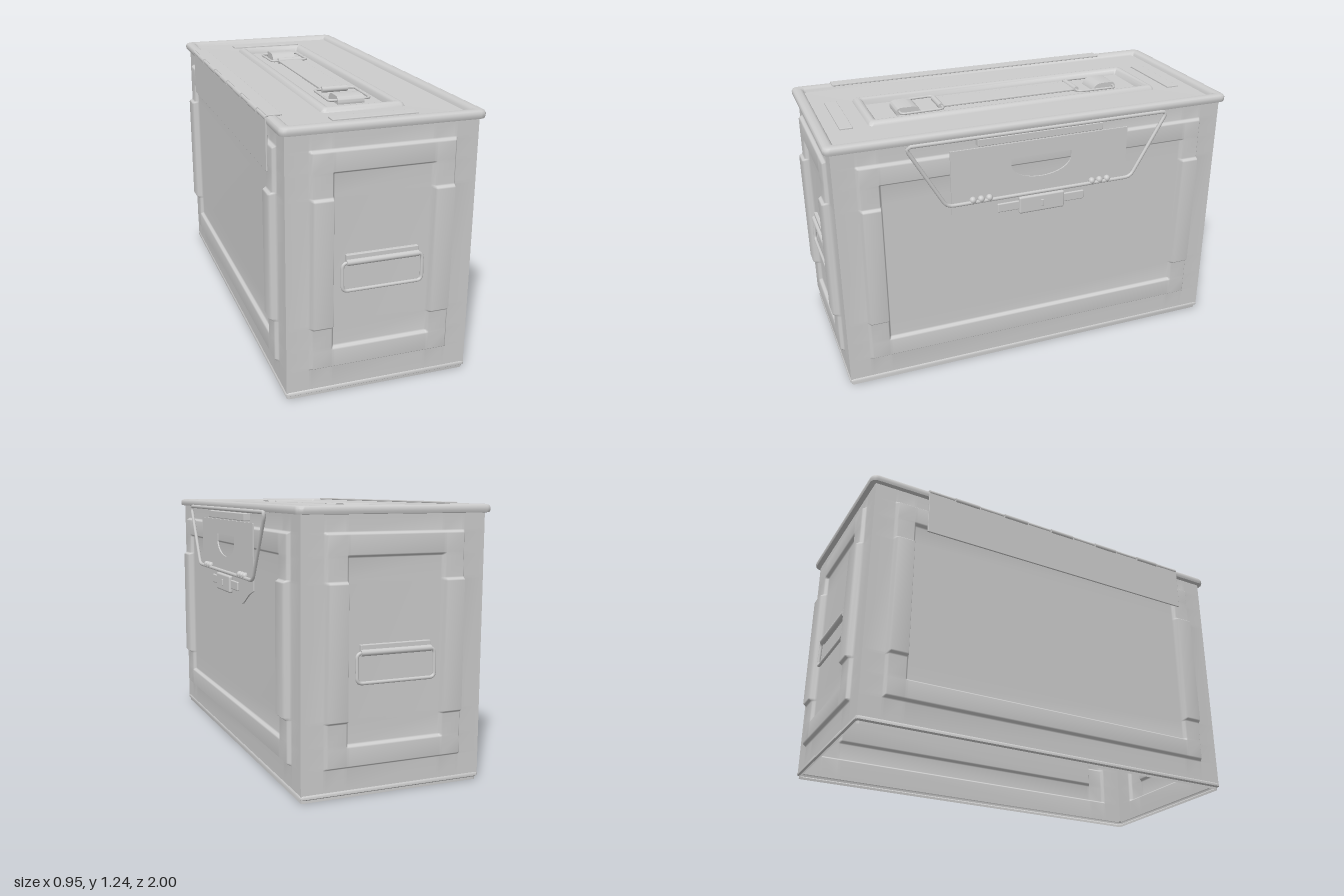
import * as THREE from 'three';
import { toCreasedNormals } from 'three/addons/utils/BufferGeometryUtils.js';
import { RoundedBoxGeometry } from 'three/addons/geometries/RoundedBoxGeometry.js';

const CX = -0.007, HX = 0.427, HZ = 0.96; // body centre and half sizes
const metal = new THREE.MeshStandardMaterial({ color: 0xcccccc });
const sheet = new THREE.MeshStandardMaterial({ color: 0xcccccc, side: THREE.DoubleSide });

function add(parent, name, geometry, material = metal) {
  const mesh = new THREE.Mesh(geometry, material);
  mesh.name = name;
  parent.add(mesh);
  return mesh;
}

// box given by its limits on each axis
function box(parent, name, [x0, x1], [y0, y1], [z0, z1], r = 0.003) {
  const m = add(parent, name, new RoundedBoxGeometry(x1 - x0, y1 - y0, z1 - z0, 2, r));
  m.position.set((x0 + x1) / 2, (y0 + y1) / 2, (z0 + z1) / 2);
  return m;
}

// closed wire through corner points, each corner rounded
function wire(parent, name, corners, bend, radius) {
  const pts = corners.map(p => new THREE.Vector3(...p));
  const path = new THREE.CurvePath();
  const n = pts.length;
  const toward = (a, b) => a.clone().add(b.clone().sub(a).setLength(bend));
  for (let i = 0; i < n; i++) {
    const a = pts[i], b = pts[(i + 1) % n], c = pts[(i + 2) % n];
    path.add(new THREE.LineCurve3(toward(a, b), toward(b, a)));
    path.add(new THREE.QuadraticBezierCurve3(toward(b, a), b, toward(b, c)));
  }
  return add(parent, name, new THREE.TubeGeometry(path, 160, radius, 8, true));
}

// surface through rounded rectangles [halfX, halfZ, cornerRadius, y]
function loft(rings, steps = 6) {
  const pos = [], idx = [], n = 4 * (steps + 1);
  for (const [hx, hz, r, y] of rings) {
    for (let q = 0; q < 4; q++) {
      const sx = q === 0 || q === 3 ? 1 : -1, sz = q < 2 ? 1 : -1;
      for (let s = 0; s <= steps; s++) {
        const a = (q + s / steps) * Math.PI / 2;
        pos.push(CX + sx * (hx - r) + r * Math.cos(a), y, sz * (hz - r) + r * Math.sin(a));
      }
    }
  }
  for (let k = 0; k < rings.length - 1; k++) {
    for (let i = 0; i < n; i++) {
      const a = k * n + i, b = k * n + (i + 1) % n;
      idx.push(a, a + n, b, b, a + n, b + n);
    }
  }
  const g = new THREE.BufferGeometry();
  g.setAttribute('position', new THREE.Float32BufferAttribute(pos, 3));
  g.setIndex(idx);
  return toCreasedNormals(g, 0.7);
}

// pressed sheet wall: raised frame round a flat field, with a thicker pad on each side
function wall(half, outer, inner) {
  const e = 0.016;
  const edge = (a, dir) => [0, 1, 2, 3].map(k => a + dir * e * k / 3);
  const right = [...edge(inner, 1), ...edge(outer, -1), half];
  const us = [...right, ...right.map(u => -u)].sort((a, b) => a - b);
  const vs = [0.03, 1.2, ...edge(0.13, 1), ...edge(1.13, -1), ...edge(0.24, -1), ...edge(1.02, 1),
    ...edge(0.33, 1), ...edge(0.93, -1)].sort((a, b) => a - b);
  const rise = d => THREE.MathUtils.smoothstep(d, 0, e);
  const g = new THREE.PlaneGeometry(1, 1, us.length - 1, vs.length - 1);
  const p = g.attributes.position;
  for (let i = 0; i < p.count; i++) {
    const u = us[i % us.length], v = vs[vs.length - 1 - Math.floor(i / us.length)], w = Math.abs(u);
    const frame = rise(Math.min(outer - w, v - 0.13, 1.13 - v, Math.max(w - inner, 0.24 - v, v - 1.02)));
    const pad = rise(Math.min(outer - w, w - inner, v - 0.33, 0.93 - v));
    p.setXYZ(i, u, v, 0.022 * frame + 0.018 * pad);
  }
  g.computeVertexNormals();
  return g;
}

function endHandle(name) {
  const g = new THREE.Group();
  g.name = name;
  box(g, 'handleBracket', [-0.165, 0.165], [0.625, 0.66], [0.955, 0.976]);
  const roll = add(g, 'handleRoll', new THREE.CylinderGeometry(0.014, 0.014, 0.33, 12));
  roll.rotation.z = Math.PI / 2;
  roll.position.set(0, 0.626, 0.976);
  wire(g, 'handleWire', [[-0.183, 0.498, 0.98], [0.183, 0.498, 0.98], [0.183, 0.626, 0.976], [-0.183, 0.626, 0.976]], 0.025, 0.008);
  return g;
}

function latch() {
  const g = new THREE.Group();
  g.name = 'latch';
  // latch plate with a D-shaped opening
  const s = new THREE.Shape();
  [[-0.44, 1.145], [-0.44, 0.835], [-0.38, 0.815], [-0.28, 0.76], [-0.23, 0.75], [0.23, 0.75],
    [0.28, 0.76], [0.38, 0.815], [0.44, 0.835], [0.44, 1.145]].forEach(([x, y], i) => i ? s.lineTo(x, y) : s.moveTo(x, y));
  const d = new THREE.Path();
  d.moveTo(0.15, 1.07);
  d.lineTo(0.15, 1.03);
  d.bezierCurveTo(0.12, 0.94, -0.12, 0.94, -0.15, 1.03);
  d.lineTo(-0.15, 1.07);
  s.holes.push(d);
  const plate = new THREE.ExtrudeGeometry(s, { depth: 0.007, bevelEnabled: false, curveSegments: 20 });
  plate.rotateY(Math.PI / 2).translate(0.443, 0, 0);
  add(g, 'latchPlate', plate);
  // lid catch, wire bail and its rolled knuckles
  box(g, 'lidCatch', [0.415, 0.45], [1.15, 1.185], [-0.31, 0.31]);
  wire(g, 'latchBail', [[0.46, 1.2, 0.645], [0.46, 0.888, 0.465], [0.46, 0.888, -0.465], [0.46, 1.2, -0.645]], 0.03, 0.009);
  for (const side of [-1, 1]) {
    for (const z of [0.26, 0.3, 0.34]) {
      const k = add(g, 'latchKnuckle', new THREE.SphereGeometry(0.017, 12, 8));
      k.position.set(0.456, 0.897, side * z);
    }
  }
  // finger tab and rivet
  box(g, 'latchTab', [0.447, 0.459], [0.812, 0.856], [-0.22, 0.22], 0.005);
  box(g, 'latchTabCentre', [0.447, 0.468], [0.79, 0.875], [-0.115, 0.115], 0.009);
  box(g, 'latchRivet', [0.46, 0.473], [0.815, 0.85], [-0.007, 0.007]);
  return g;
}

function hinge() {
  const g = new THREE.Group();
  g.name = 'hinge';
  box(g, 'lidLeaf', [-0.455, -0.39], [1.232, 1.24], [-0.7, 0.79], 0.002);
  box(g, 'wallLeaf', [-0.461, -0.453], [1.0, 1.225], [-0.7, 0.79], 0.002);
  const n = 11, step = 1.49 / n;
  for (let i = 0; i < n; i++) {
    const r = i % 2 ? 0.014 : 0.011;
    const k = add(g, 'hingeKnuckle', new THREE.CylinderGeometry(r, r, step * 0.95, 12));
    k.rotation.x = Math.PI / 2;
    k.position.set(-0.453, 1.226, -0.7 + (i + 0.5) * step);
  }
  return g;
}

function carryHandle() {
  const g = new THREE.Group();
  g.name = 'carryHandle';
  box(g, 'strap', [-0.07, 0.056], [1.212, 1.222], [-0.36, 0.36]);
  for (const s of [-1, 1]) {
    const roll = add(g, 'strapEnd', new THREE.CylinderGeometry(0.014, 0.014, 0.126, 14));
    roll.rotation.z = Math.PI / 2;
    roll.position.set(CX, 1.219, s * 0.356);
    wire(g, 'strapWire', [[-0.106, 1.219, s * 0.352], [0.092, 1.219, s * 0.352],
      [0.092, 1.217, s * 0.56], [-0.106, 1.217, s * 0.56]], 0.022, 0.006);
    // arched clip holding the wire to the lid
    const arch = new THREE.Shape();
    arch.moveTo(0.45, 1.198);
    arch.bezierCurveTo(0.455, 1.215, 0.47, 1.235, 0.5, 1.235);
    arch.lineTo(0.55, 1.235);
    arch.bezierCurveTo(0.575, 1.235, 0.58, 1.215, 0.575, 1.198);
    const clip = new THREE.ExtrudeGeometry(arch, { depth: 0.126, bevelEnabled: false, curveSegments: 8 });
    clip.rotateY(-Math.PI / 2 * s).translate(s > 0 ? 0.056 : -0.07, 0, 0);
    add(g, 'strapClip', toCreasedNormals(clip, 0.6));
  }
  return g;
}

export function createModel() {
  const model = new THREE.Group();
  model.name = 'metalBox';

  // four pressed walls and the bottom bead; the underside is open
  for (let i = 0; i < 4; i++) {
    const end = i % 2 === 0;
    const w = add(model, end ? 'endWall' : 'sideWall', end ? wall(HX, 0.328, 0.215) : wall(HZ, 0.86, 0.75), sheet);
    w.rotation.y = i * Math.PI / 2;
    w.position.set(CX + [0, HX, 0, -HX][i], 0, [HZ, 0, -HZ, 0][i]);
  }
  const bead = [[0, 0.034], [0.004, 0.028], [0.004, 0.018], [-0.004, 0.012], [-0.004, 0]];
  add(model, 'bottomBead', loft(bead.map(([o, y]) => [HX + o, HZ + o, 0.012, y]).reverse()), sheet);

  // lid: rolled rim, flat deck, raised oblong ridge, sunken centre
  const rim = [[-0.022, 1.198], [0, 1.2], [0.003, 1.21], [0.003, 1.222], [-0.002, 1.231], [-0.012, 1.235],
    [-0.034, 1.235], [-0.044, 1.231], [-0.05, 1.222], [-0.054, 1.213]];
  const ridge = [[0, 1.212], [-0.005, 1.222], [-0.013, 1.229], [-0.024, 1.232], [-0.036, 1.229], [-0.044, 1.22], [-0.05, 1.2]];
  add(model, 'lid', loft([
    ...rim.map(([o, y]) => [0.448 + o, 0.985 + o, 0.03 + o * 0.3, y]),
    ...ridge.map(([o, y]) => [0.193 + o, 0.735 + o, 0.02 + o * 0.25, y]),
    [0, 0.54, 0, 1.2],
  ]), sheet);
  for (const s of [-1, 1]) {
    box(model, 'lidEndStrip', [-0.2, 0.186], [1.205, 1.22], [s * 0.838 - 0.03, s * 0.838 + 0.03]);
  }

  // fittings
  model.add(carryHandle(), hinge(), latch());
  for (const [name, turn] of [['frontHandle', 0], ['backHandle', Math.PI]]) {
    const h = endHandle(name);
    h.rotation.y = turn;
    h.position.x = CX;
    model.add(h);
  }
  return model;
}
